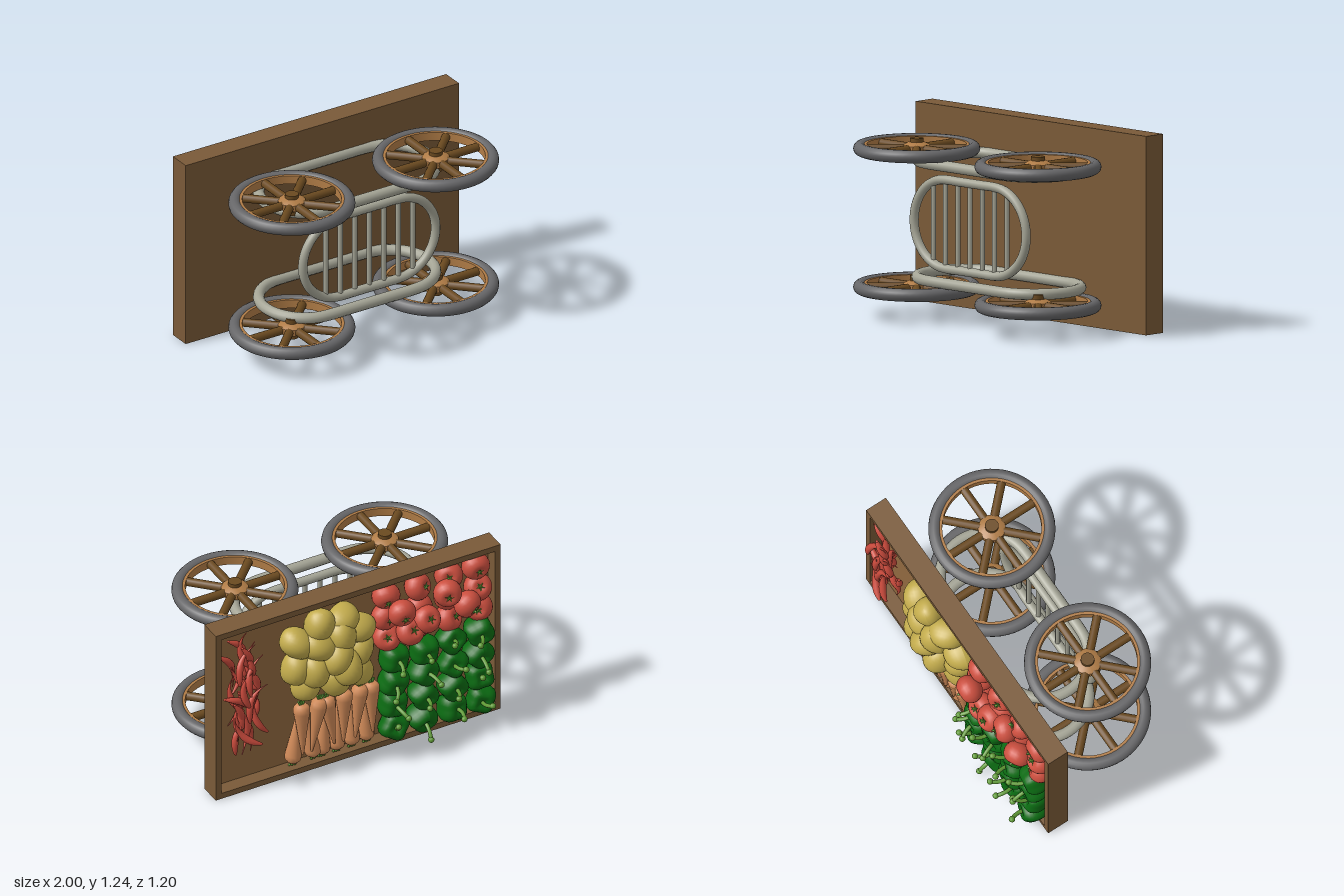
import * as THREE from 'three';
import { toCreasedNormals } from 'three/addons/utils/BufferGeometryUtils.js';

const mat = color => new THREE.MeshStandardMaterial({ color });
const M = {
  wood: mat(0x7a5a38), floor: mat(0x91693f), spoke: mat(0x6b4a20), rim: mat(0xb07c46),
  tyre: mat(0x666668), metal: mat(0xa5a596), tomato: mat(0xcc4f3f), pepper: mat(0x0b6b12),
  stem: mat(0x5f9a35), potato: mat(0xc2ab4c), carrot: mat(0xd08a58), chilli: mat(0xc94a3c),
};

function add(parent, name, geo, material, x = 0, y = 0, z = 0) {
  const m = new THREE.Mesh(geo, material);
  m.name = name;
  m.position.set(x, y, z);
  parent.add(m);
  return m;
}

function group(parent, name, x = 0, y = 0, z = 0) {
  const g = new THREE.Group();
  g.name = name;
  g.position.set(x, y, z);
  parent.add(g);
  return g;
}

// Small repeatable spread of values in -1..1
const jit = (i, k) => Math.sin(i * 12.99 + k * 78.23 + 1.7) * Math.cos(i * 4.1 + k * 2.3);

const lathe = (pts, sides) => new THREE.LatheGeometry(pts.map(p => new THREE.Vector2(...p)), sides);

// Move every vertex by a rule, then rebuild normals
function reshape(geo, rule) {
  const p = geo.attributes.position, v = new THREE.Vector3();
  for (let i = 0; i < p.count; i++) {
    v.fromBufferAttribute(p, i);
    rule(v);
    p.setXYZ(i, v.x, v.y, v.z);
  }
  geo.computeVertexNormals();
  return geo;
}

// Closed stadium-shaped tube in the XY plane
function stadiumTube(straight, r, tube) {
  const pts = [];
  for (const s of [1, -1]) {
    for (let i = 0; i <= 12; i++) {
      const a = -Math.PI / 2 + (Math.PI * i) / 12;
      pts.push(new THREE.Vector3(s * (straight + r * Math.cos(a)), s * r * Math.sin(a), 0));
    }
    for (const f of [0.5, 0, -0.5]) pts.push(new THREE.Vector3(s * f * straight, s * r, 0));
  }
  return new THREE.TubeGeometry(new THREE.CatmullRomCurve3(pts, true), 96, tube, 12, true);
}

// Wheel parts
const tyreGeo = new THREE.TorusGeometry(0.35, 0.04, 14, 56);
const rimGeo = toCreasedNormals(lathe([[0.305, -0.028], [0.338, -0.028], [0.338, 0.028],
  [0.305, 0.028], [0.305, -0.028]], 56), 0.6);
const hubGeo = toCreasedNormals(lathe([[0, -0.04], [0.05, -0.04], [0.085, -0.02], [0.085, 0.02],
  [0.05, 0.04], [0, 0.04]], 32), 0.6);
const axleGeo = new THREE.CylinderGeometry(0.042, 0.042, 0.135, 24);
const spokeGeo = new THREE.CylinderGeometry(0.027, 0.027, 0.25, 14);

// Spoked wheel with its axis along y, mirrored for the upper side
function makeWheel(parent, x, y, z, side) {
  const w = group(parent, 'wheel', x, y, z);
  if (side > 0) w.rotation.x = Math.PI;
  add(w, 'tyre', tyreGeo, M.tyre).rotation.x = Math.PI / 2;
  add(w, 'rim', rimGeo, M.rim);
  add(w, 'hub', hubGeo, M.rim);
  add(w, 'axle', axleGeo, M.spoke, 0, 0.003);
  for (let i = 0; i < 8; i++) {
    const a = (i * Math.PI) / 4;
    add(w, 'spoke', spokeGeo, M.spoke, Math.cos(a) * 0.19, 0, Math.sin(a) * 0.19)
      .rotation.set(0, -a, Math.PI / 2);
  }
}

// Produce shapes, each growing along +y
const tomatoGeo = reshape(new THREE.SphereGeometry(0.09, 20, 14), v => {
  const r = Math.hypot(v.x, v.z) / 0.09;
  v.y = v.y * 0.88 - (v.y > 0 ? 0.03 * Math.exp(-r * r * 9) : 0);
});
const pepperGeo = reshape(new THREE.SphereGeometry(0.1, 28, 16), v => {
  const a = Math.atan2(v.z, v.x), r = Math.hypot(v.x, v.z) / 0.1;
  const width = (0.93 + 0.09 * Math.cos(4 * a)) * (1 + v.y * 1.3);
  v.x *= width;
  v.z *= width;
  v.y = v.y * 1.05 - Math.sign(v.y) * 0.04 * Math.exp(-r * r * 8);
});
const potatoGeo = reshape(new THREE.SphereGeometry(0.1, 24, 16), v => {
  const bump = 1 + 0.05 * Math.sin(v.x * 32 + 1) * Math.cos(v.y * 25) + 0.03 * Math.sin(v.z * 38);
  v.set(v.x * bump, v.y * bump * 1.25, v.z * bump * 0.95);
});
const carrotGeo = lathe([[0, -0.21], [0.008, -0.2], [0.022, -0.1], [0.038, 0.02],
  [0.053, 0.12], [0.052, 0.15], [0.035, 0.172], [0, 0.175]], 16);
const carrotTop = new THREE.CylinderGeometry(0.008, 0.006, 0.04, 6);
const chilliGeo = reshape(new THREE.CylinderGeometry(1, 1, 0.28, 10, 12), v => {
  const t = THREE.MathUtils.clamp(v.y / 0.28 + 0.5, 0, 1);
  const r = 0.003 + 0.021 * Math.sin(Math.PI * Math.pow(t, 1.6) * 0.9);
  v.x = v.x * r + 0.2 * (t - 0.5) ** 2 - 0.02;
  v.z = v.z * r + 0.012 * Math.sin(t * 5);
});
const stemGeo = (len, r) => new THREE.TubeGeometry(new THREE.QuadraticBezierCurve3(
  new THREE.Vector3(), new THREE.Vector3(0, len * 0.6, 0), new THREE.Vector3(len * 0.45, len, 0)), 8, r, 8);
const pepperStem = stemGeo(0.1, 0.013), tomatoStem = stemGeo(0.03, 0.007);
const stemEnd = new THREE.SphereGeometry(0.02, 10, 8);
const leafGeo = new THREE.ConeGeometry(0.008, 0.035, 4);

function tomato(parent, x, y, z, i) {
  const g = group(parent, 'tomato', x, y, z);
  g.rotation.set(-Math.PI / 2 + jit(i, 1) * 0.7, jit(i, 2) * 0.6, jit(i, 3) * 0.6);
  add(g, 'tomatoFlesh', tomatoGeo, M.tomato);
  add(g, 'tomatoStem', tomatoStem, M.stem, 0, 0.05);
  for (let k = 0; k < 5; k++) {
    const leaf = add(g, 'tomatoLeaf', leafGeo, M.stem, 0, 0.06);
    leaf.rotation.set(0, (k * Math.PI * 2) / 5, -1.3);
    leaf.translateY(0.017);
  }
}

function pepper(parent, x, y, z, i) {
  const g = group(parent, 'pepper', x, y, z);
  g.rotation.set(-Math.PI / 2 + jit(i, 1) * 0.35, jit(i, 2) * 0.35, jit(i, 3) * 0.3);
  const body = group(g, 'pepperBody');
  body.rotation.y = jit(i, 4) * 3;
  add(body, 'pepperFlesh', pepperGeo, M.pepper);
  add(body, 'pepperStem', pepperStem, M.stem, 0, 0.06);
  add(body, 'pepperStemEnd', stemEnd, M.stem, 0.045, 0.16);
}

export function createModel() {
  const model = new THREE.Group();
  model.name = 'marketCart';

  // Shallow tray opening towards -z
  const tray = group(model, 'tray');
  add(tray, 'trayBase', new THREE.BoxGeometry(1.92, 1.155, 0.05), M.wood, 0, 0.6175, -0.285);
  add(tray, 'trayFloor', new THREE.BoxGeometry(1.92, 1.155, 0.006), M.floor, 0, 0.6175, -0.312);
  for (const s of [-1, 1]) {
    add(tray, 'traySide', new THREE.BoxGeometry(0.04, 1.235, 0.145), M.wood, s * 0.98, 0.6175, -0.3325);
    add(tray, 'trayEnd', new THREE.BoxGeometry(1.92, 0.04, 0.145), M.wood, 0, 0.6175 + s * 0.5975, -0.3325);
  }

  // Two tube frames carrying the wheels
  const frameGeo = stadiumTube(0.31, 0.283, 0.035);
  for (const s of [-1, 1]) {
    add(model, 'sideFrame', frameGeo, M.metal, 0, 0.617 + s * 0.364, 0.018).rotation.x = Math.PI / 2;
    for (const x of [-0.526, 0.526]) makeWheel(model, x, 0.616 + s * 0.43, 0.205, s);
  }

  // Barred rack between the frames
  const rack = group(model, 'lowerRack', 0, 0.615, 0.267);
  add(rack, 'rackFrame', stadiumTube(0.21, 0.276, 0.029), M.metal);
  const barGeo = new THREE.CylinderGeometry(0.016, 0.016, 0.53, 12);
  for (let i = -3; i <= 3; i++) add(rack, 'rackBar', barGeo, M.metal, i * 0.106);

  // Tomatoes: a full lower layer and a few on top
  const tomatoes = group(model, 'tomatoes');
  for (let i = 0; i < 12; i++) {
    const col = i % 4, row = Math.floor(i / 4);
    tomato(tomatoes, -0.22 - col * 0.213 + jit(i, 5) * 0.015, 0.79 + row * 0.155 + jit(i, 6) * 0.01, -0.37, i);
  }
  [[-0.26, 1.03, -0.49], [-0.45, 0.9, -0.46], [-0.6, 1.04, -0.455], [-0.74, 0.91, -0.455], [-0.34, 0.84, -0.45]]
    .forEach((p, i) => tomato(tomatoes, ...p, i + 20));

  // Peppers in four rows
  const peppers = group(model, 'peppers');
  for (let i = 0; i < 16; i++) {
    const col = i % 4, row = Math.floor(i / 4);
    pepper(peppers, -0.25 - col * 0.2 + jit(i, 5) * 0.01, 0.135 + row * 0.17 + jit(i, 6) * 0.008,
      -0.4 - 0.015 * jit(i, 7), i);
  }

  // Heaped potatoes
  const potatoes = group(model, 'potatoes');
  [[0.42, 0.98, -0.4], [0.28, 1.08, -0.42], [0.11, 1.06, -0.41], [0, 0.95, -0.39], [0.43, 0.8, -0.4],
    [-0.01, 0.79, -0.39], [0.36, 0.66, -0.4], [0.17, 0.63, -0.4], [0, 0.64, -0.39], [0.2, 0.86, -0.4],
    [0.3, 0.95, -0.45], [0.15, 0.98, -0.46], [0.2, 0.86, -0.5], [0.33, 0.78, -0.46], [0.11, 0.74, -0.47]]
    .forEach(([x, y, z], i) => {
      add(potatoes, 'potato', potatoGeo, M.potato, x, y, z)
        .rotation.set(jit(i, 1) * 0.4, jit(i, 2) * 0.6, jit(i, 3) * 1.6);
    });

  // Carrots: lower layer with crowns down, upper layer with crowns up
  const carrots = group(model, 'carrots');
  for (let i = 0; i < 12; i++) {
    const up = i >= 6, k = i % 6;
    const c = group(carrots, 'carrot', 0.42 - k * 0.098 - (up ? 0.02 : 0), up ? 0.35 : 0.25, up ? -0.415 : -0.365);
    c.rotation.z = (up ? 0 : Math.PI) + jit(i, 1) * 0.18;
    add(c, 'carrotRoot', carrotGeo, M.carrot);
    for (const s of [-1, 0, 1]) add(c, 'carrotTop', carrotTop, M.stem, s * 0.013, 0.182).rotation.z = -s * 0.4;
  }

  // Scattered chillies
  const chillies = group(model, 'chillies');
  for (let i = 0; i < 26; i++) {
    add(chillies, 'chilli', chilliGeo, M.chilli,
      0.8 + 0.08 * jit(i, 8), 0.4 + 0.026 * i, -0.36 - 0.032 * (i % 4))
      .rotation.set(jit(i, 2) * 0.12, jit(i, 3) * 0.3, (i % 2 ? Math.PI : 0) + jit(i, 4) * 0.75);
  }

  return model;
}
